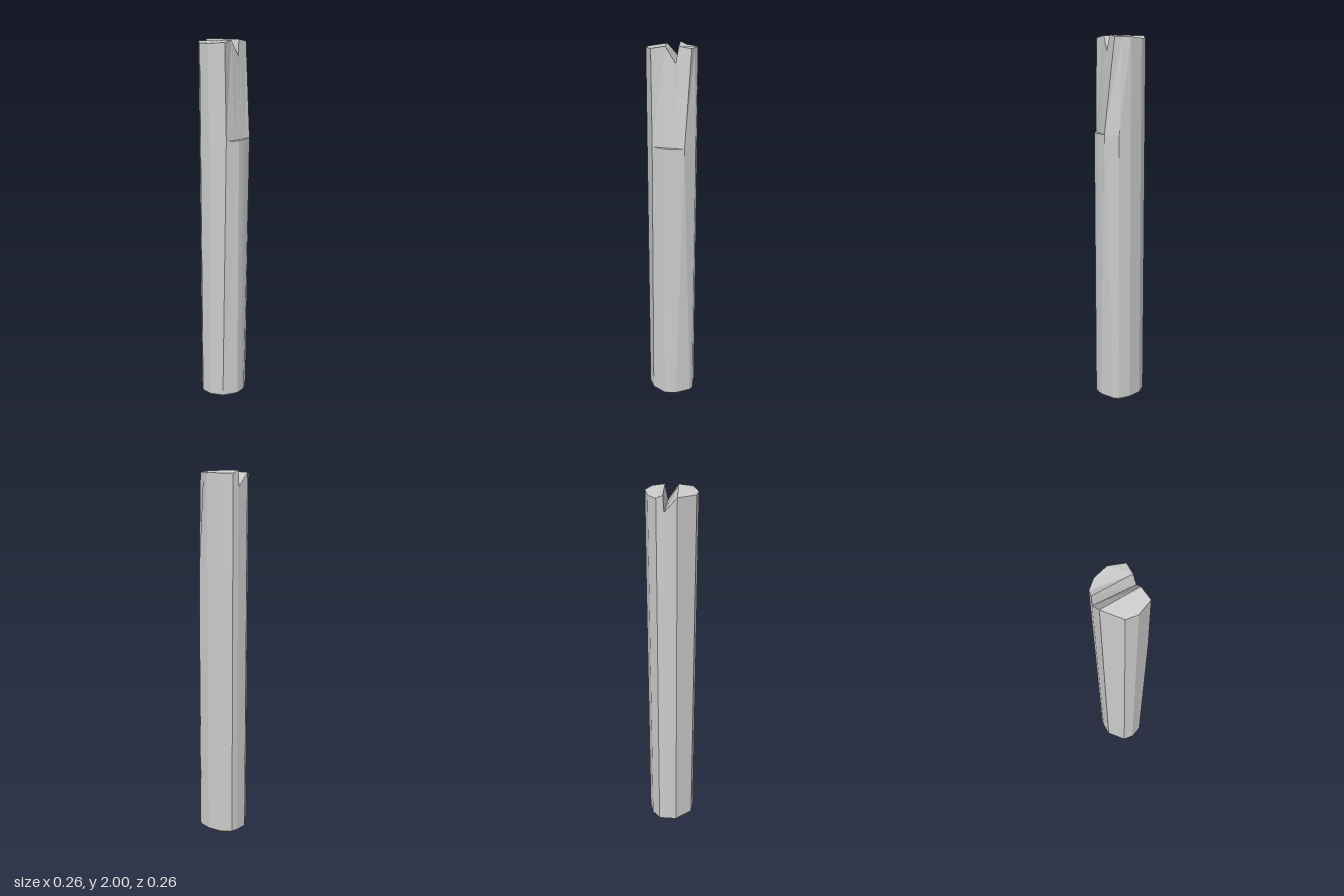
import * as THREE from 'three';

// Outline [x, z] of the post just below the bevel cut, from front-left round by the front
const outline = [
  [0.085, 0.097], [0, 0.13], [-0.06, 0.12], [-0.13, 0.03], [-0.13, -0.03],
  [-0.13, -0.037], [-0.123, -0.07], [-0.075, -0.112], [0, -0.132], [0.065, -0.126],
  [0.122, -0.07], [0.127, -0.03], [0.129, 0], [0.125, 0.038],
];

// Same outline with some corners replaced, at height y
function ring(y, changes = {}, scale = 1) {
  return outline.map((p, i) => {
    const [x, z, h = y] = changes[i] || p;
    return [x * scale, h, z * scale];
  });
}

function createPost() {
  const lower = { 0: [0.07, 0.105], 10: [0.09, -0.11] };
  const rings = [
    ring(0, lower, 0.82),
    ring(0.02, lower),
    ring(1.5),
    // foot of the sloping cut, leaving a narrow ledge
    ring(1.5, { 11: [0.114, -0.03], 12: [0.109, -0.005], 13: [0.1, 0.04] }),
    // rim with the notch running across it
    ring(1.985, {
      0: [0.077, 0.1, 1.99], 3: [-0.13, 0.03, 1.99], 4: [-0.13, -0.032, 1.92],
      5: [-0.13, -0.037, 2], 8: [0, -0.13, 1.99], 9: [0.04, -0.115, 1.99],
      10: [0.077, -0.1, 1.99], 11: [0.072, -0.037, 2],
      12: [0.08, -0.022, 1.92], 13: [0.07, 0.03, 2],
    }),
  ];

  const pos = [];
  const tri = (a, b, c) => pos.push(...a, ...b, ...c);
  const fan = (pts) => {
    for (let i = 1; i < pts.length - 1; i++) tri(pts[0], pts[i], pts[i + 1]);
  };

  // Sides
  const n = outline.length;
  for (let r = 0; r < rings.length - 1; r++) {
    for (let i = 0; i < n; i++) {
      const j = (i + 1) % n, a = rings[r], b = rings[r + 1];
      tri(a[j], a[i], b[i]);
      tri(a[j], b[i], b[j]);
    }
  }

  // Underside, then front crown, both notch walls and back crown
  fan(rings[0]);
  const top = rings[rings.length - 1];
  for (const face of [
    [13, 3, 2, 1, 0],
    [13, 12, 4, 3],
    [12, 11, 5, 4],
    [11, 10, 9, 8, 7, 6, 5],
  ]) fan(face.map((i) => top[i]));

  const geometry = new THREE.BufferGeometry();
  geometry.setAttribute('position', new THREE.Float32BufferAttribute(pos, 3));
  geometry.computeVertexNormals();
  return geometry;
}

export function createModel() {
  const group = new THREE.Group();
  group.name = 'notchedPost';
  const post = new THREE.Mesh(
    createPost(),
    new THREE.MeshStandardMaterial({ color: 0xcccccc, flatShading: true })
  );
  post.name = 'post';
  group.add(post);
  return group;
}
